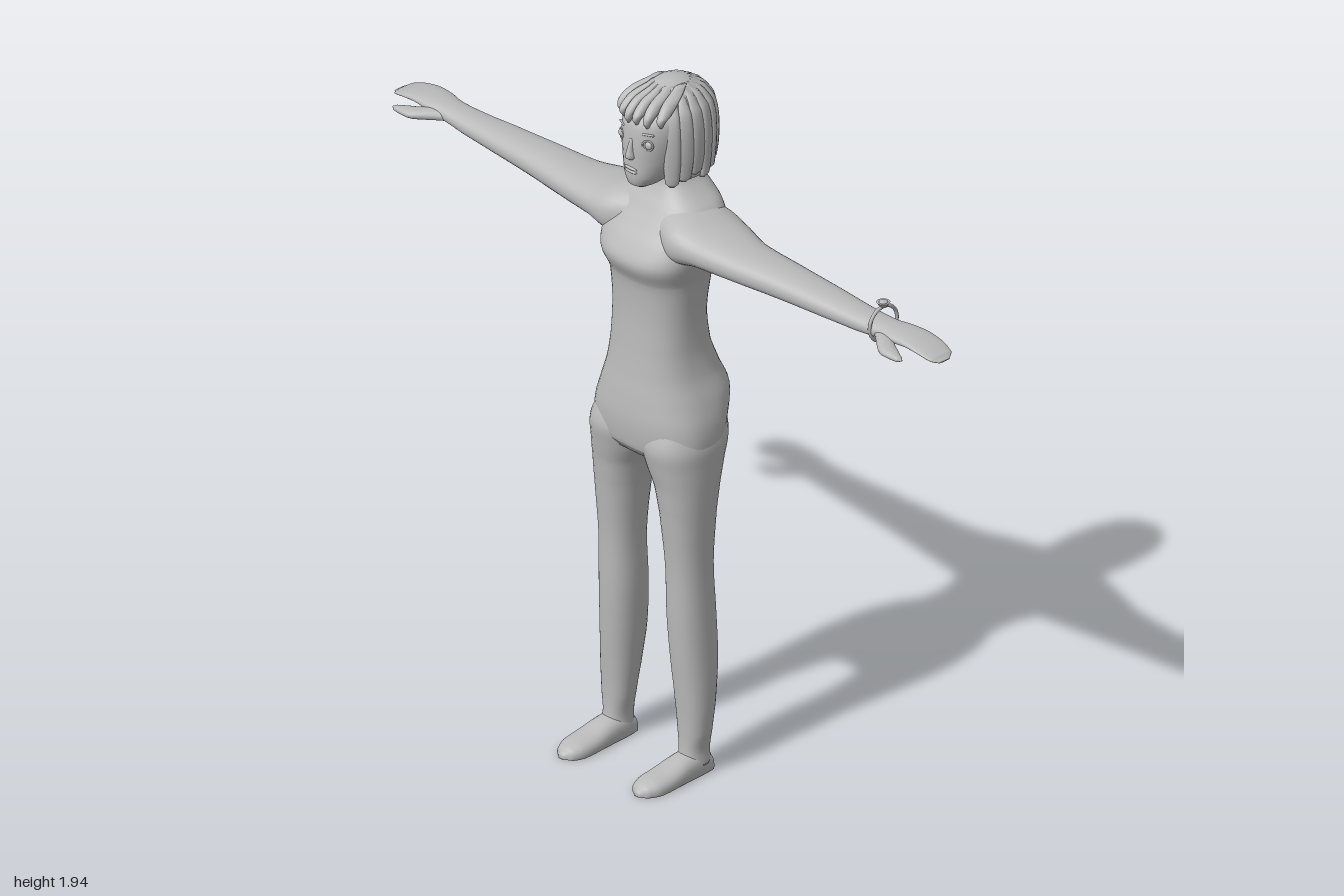
import * as THREE from 'three';

const grey = new THREE.MeshStandardMaterial({ color: 0xbababa, side: THREE.DoubleSide });
grey.name = 'plain grey';

// Catmull-Rom blend of one column of the section table
const blend = (a, b, c, d, t) =>
  0.5 * (2 * b + (c - a) * t + (2 * a - 5 * b + 4 * c - d) * t * t + (3 * b - a - 3 * c + d) * t * t * t);

// Smooth closed skin through sections [along, uMin, uMax, vMin, vMax].
// axis x: u = y, v = z;  axis y: u = z, v = x;  axis z: u = x, v = y
function loft(axis, sections, { sides = 32, steps = 5, power = 2.3 } = {}) {
  const rows = [];
  const last = sections.length - 1;
  const at = (i) => sections[Math.min(last, Math.max(0, i))];
  for (let i = 0; i < last; i++) {
    for (let s = 0; s < steps; s++) {
      const t = s / steps;
      rows.push(at(i).map((_, k) => k === 0
        ? at(i)[0] + (at(i + 1)[0] - at(i)[0]) * t
        : blend(at(i - 1)[k], at(i)[k], at(i + 1)[k], at(i + 2)[k], t)));
    }
  }
  rows.push(at(last));
  const pos = [], index = [];
  const put = (w, u, v) => {
    const p = axis === 'x' ? [w, u, v] : axis === 'y' ? [v, w, u] : [u, v, w];
    pos.push(p[0], Math.max(0, p[1]), p[2]);
  };
  const round = (c) => Math.sign(c) * Math.abs(c) ** (2 / power);
  for (const [w, u0, u1, v0, v1] of rows) {
    for (let j = 0; j < sides; j++) {
      const a = (j / sides) * Math.PI * 2;
      put(w, (u0 + u1) / 2 + (u1 - u0) / 2 * round(Math.cos(a)), (v0 + v1) / 2 + (v1 - v0) / 2 * round(Math.sin(a)));
    }
  }
  const n = rows.length, start = n * sides;
  for (const r of [rows[0], rows[n - 1]]) put(r[0], (r[1] + r[2]) / 2, (r[3] + r[4]) / 2);
  for (let j = 0; j < sides; j++) {
    const k = (j + 1) % sides;
    for (let i = 0; i < n - 1; i++) {
      const a = i * sides + j, b = i * sides + k;
      index.push(a, b, a + sides, b, b + sides, a + sides);
    }
    index.push(start, k, j, start + 1, (n - 1) * sides + j, (n - 1) * sides + k);
  }
  const g = new THREE.BufferGeometry();
  g.setAttribute('position', new THREE.Float32BufferAttribute(pos, 3));
  g.setIndex(index);
  g.computeVertexNormals();
  return g;
}

// Mirror across x = 0 and turn the faces back outward
function mirrored(geo) {
  const g = geo.clone().scale(-1, 1, 1);
  const ix = g.index.array;
  for (let i = 0; i < ix.length; i += 3) [ix[i], ix[i + 1]] = [ix[i + 1], ix[i]];
  g.computeVertexNormals();
  return g;
}

export function createModel() {
  const model = new THREE.Group();
  model.name = 'woman';
  const add = (name, geo, parent = model) => {
    const m = new THREE.Mesh(geo, grey);
    m.name = name;
    parent.add(m);
    return m;
  };
  const pair = (name, geo, parent) => {
    add('left' + name, geo, parent);
    add('right' + name, mirrored(geo), parent);
  };
  // Symmetric section: height, back, front, half width
  const sym = (rows) => rows.map(([y, b, f, w]) => [y, b, f, -w, w]);

  // Torso from crotch to neck
  add('torso', loft('y', sym([
    [0.905, -0.105, 0.08, 0.165], [0.93, -0.13, 0.098, 0.184], [1.0, -0.157, 0.105, 0.183],
    [1.07, -0.18, 0.1, 0.165], [1.13, -0.158, 0.092, 0.143], [1.2, -0.132, 0.085, 0.129],
    [1.3, -0.12, 0.08, 0.125], [1.4, -0.133, 0.086, 0.133], [1.46, -0.146, 0.11, 0.15],
    [1.51, -0.156, 0.088, 0.162], [1.56, -0.165, 0.05, 0.16], [1.6, -0.165, 0.022, 0.13],
    [1.635, -0.155, 0.0, 0.085], [1.665, -0.14, -0.01, 0.058], [1.73, -0.13, -0.005, 0.052],
  ]), { sides: 48, power: 2.5 }));

  // Legs and feet
  pair('Leg', loft('y', [
    [0.03, -0.05, 0.04, 0.103, 0.178], [0.07, -0.05, 0.033, 0.105, 0.174], [0.12, -0.053, 0.032, 0.097, 0.182],
    [0.2, -0.065, 0.036, 0.088, 0.186], [0.32, -0.079, 0.045, 0.076, 0.184], [0.45, -0.077, 0.052, 0.068, 0.181],
    [0.6, -0.07, 0.056, 0.067, 0.178], [0.75, -0.082, 0.07, 0.055, 0.183], [0.83, -0.098, 0.08, 0.04, 0.186],
    [0.89, -0.118, 0.092, 0.015, 0.187], [0.95, -0.138, 0.1, 0.0, 0.186], [1.02, -0.14, 0.08, 0.01, 0.165],
  ]));
  pair('Foot', loft('z', [
    [-0.056, 0.125, 0.155, -0.01, 0.03], [-0.048, 0.108, 0.172, -0.02, 0.045], [-0.01, 0.101, 0.178, -0.02, 0.065],
    [0.04, 0.098, 0.181, -0.02, 0.062], [0.1, 0.094, 0.185, -0.02, 0.046], [0.15, 0.096, 0.182, -0.02, 0.038],
    [0.18, 0.108, 0.168, -0.015, 0.028], [0.195, 0.13, 0.148, -0.005, 0.012],
  ], { sides: 24 }));

  // Arms with mitten hands and thumbs
  pair('Arm', loft('x', [
    [0.04, 1.45, 1.61, -0.14, 0.04], [0.12, 1.462, 1.602, -0.157, 0.068], [0.19, 1.48, 1.583, -0.147, 0.06],
    [0.3, 1.485, 1.571, -0.115, 0.044], [0.45, 1.488, 1.563, -0.107, 0.022], [0.6, 1.49, 1.553, -0.104, 0.004],
    [0.72, 1.492, 1.545, -0.1, -0.01], [0.8, 1.5, 1.544, -0.098, -0.016], [0.85, 1.508, 1.544, -0.108, -0.014],
    [0.9, 1.514, 1.54, -0.113, -0.018], [0.95, 1.511, 1.529, -0.112, -0.022], [0.985, 1.504, 1.517, -0.104, -0.03],
    [1.0, 1.503, 1.508, -0.085, -0.045],
  ]));
  pair('Thumb', loft('x', [
    [0.79, 1.505, 1.53, -0.06, -0.018], [0.83, 1.503, 1.532, -0.05, 0.012], [0.865, 1.503, 1.528, -0.02, 0.036],
    [0.9, 1.504, 1.524, 0.0, 0.037], [0.925, 1.506, 1.519, 0.013, 0.033], [0.934, 1.51, 1.514, 0.02, 0.026],
  ], { sides: 16, steps: 4 }));

  // Head and face
  const head = new THREE.Group();
  head.name = 'head';
  model.add(head);
  add('skull', loft('y', sym([
    [1.664, 0.01, 0.06, 0.018], [1.675, -0.03, 0.078, 0.036], [1.7, -0.08, 0.084, 0.056],
    [1.74, -0.12, 0.083, 0.073], [1.8, -0.145, 0.082, 0.086], [1.85, -0.155, 0.074, 0.088],
    [1.885, -0.145, 0.045, 0.075], [1.915, -0.1, 0.0, 0.04],
  ])), head);
  add('nose', loft('y', sym([
    [1.75, 0.07, 0.086, 0.008], [1.758, 0.065, 0.098, 0.013], [1.775, 0.065, 0.095, 0.009],
    [1.81, 0.065, 0.083, 0.006],
  ]), { sides: 12, steps: 3 }), head);
  for (const y of [1.716, 1.725]) add('lip', new THREE.SphereGeometry(1, 16, 8).scale(0.022, 0.005, 0.007).translate(0, y, 0.081), head);
  pair('Eyeball', new THREE.SphereGeometry(0.012, 16, 10).scale(1, 0.9, 0.6).translate(0.048, 1.802, 0.066), head);
  pair('Eyelid', new THREE.TorusGeometry(0.014, 0.0025, 6, 20).rotateY(0.5).translate(0.048, 1.802, 0.068), head);
  pair('Eyebrow', new THREE.CapsuleGeometry(0.003, 0.026, 4, 8).rotateZ(Math.PI / 2).rotateY(0.45).translate(0.048, 1.832, 0.066), head);

  // Bobbed hair: crown, backing shell, hanging locks and fringe
  const hair = new THREE.Group();
  hair.name = 'hair';
  head.add(hair);
  const cz = -0.06, rx = 0.098, rz = 0.122;
  add('crown', new THREE.SphereGeometry(1, 40, 14, 0, Math.PI * 2, 0, Math.PI / 2)
    .scale(rx, 0.107, rz).translate(0, 1.831, cz), hair);
  add('hairBacking', new THREE.CylinderGeometry(1, 0.94, 0.15, 40, 4, true, Math.PI - 2.2, 4.4)
    .scale(rx, 1, rz).translate(0, 1.757, cz), hair);
  const count = 15;
  for (let i = 0; i < count; i++) {
    const phi = Math.PI + (i / (count - 1) - 0.5) * 4.4;
    const r = Math.hypot(Math.sin(phi) * rx, Math.cos(phi) * rz);
    const end = 1.668 + 0.01 * (i % 3);
    const lock = loft('y', sym([
      [end, r - 0.02, r - 0.006, 0.008], [end + 0.012, r - 0.022, r + 0.004, 0.018],
      [1.75, r - 0.015, r + 0.01, 0.023], [1.82, r - 0.015, r + 0.01, 0.022],
      [1.87, r * 0.8, r * 0.95 + 0.006, 0.019], [1.905, r * 0.5, r * 0.75 + 0.004, 0.013],
      [1.928, r * 0.35, r * 0.47, 0.006],
    ]), { sides: 14, steps: 4 });
    // local +z turns to the outward direction of the lock
    add('lock', lock.rotateY(Math.atan2(Math.sin(phi) * rx, Math.cos(phi) * rz)).translate(0, 0, cz), hair);
  }
  for (let i = 0; i < 6; i++) {
    const x = (i - 2.5) * 0.029, back = x * x * 6;
    const tip = 1.85 + 0.004 * (i % 2);
    add('fringe', loft('y', [
      [tip, 0.07, 0.08, x - 0.003, x + 0.003], [tip + 0.015, 0.062, 0.088, x - 0.009, x + 0.009],
      [1.885, 0.04, 0.082, x * 0.97 - 0.014, x * 0.97 + 0.014], [1.91, 0.0, 0.055, x * 0.85 - 0.013, x * 0.85 + 0.013],
      [1.93, -0.04, 0.0, x * 0.6 - 0.008, x * 0.6 + 0.008],
    ].map(([y, b, f, l, m]) => [y, b - back, f - back, l, m]), { sides: 14, steps: 4 }), hair);
  }

  // Bangle with a small mount and stone on the left wrist
  const bangle = new THREE.Group();
  bangle.name = 'bangle';
  bangle.position.set(0.776, 1.527, -0.064);
  model.add(bangle);
  add('band', new THREE.TorusGeometry(0.048, 0.005, 10, 40).rotateY(Math.PI / 2), bangle);
  add('mount', new THREE.CylinderGeometry(0.018, 0.008, 0.014, 20).translate(0, 0.054, 0), bangle);
  add('stone', new THREE.SphereGeometry(0.012, 16, 8).scale(1, 0.4, 1).translate(0, 0.061, 0), bangle);
  return model;
}
